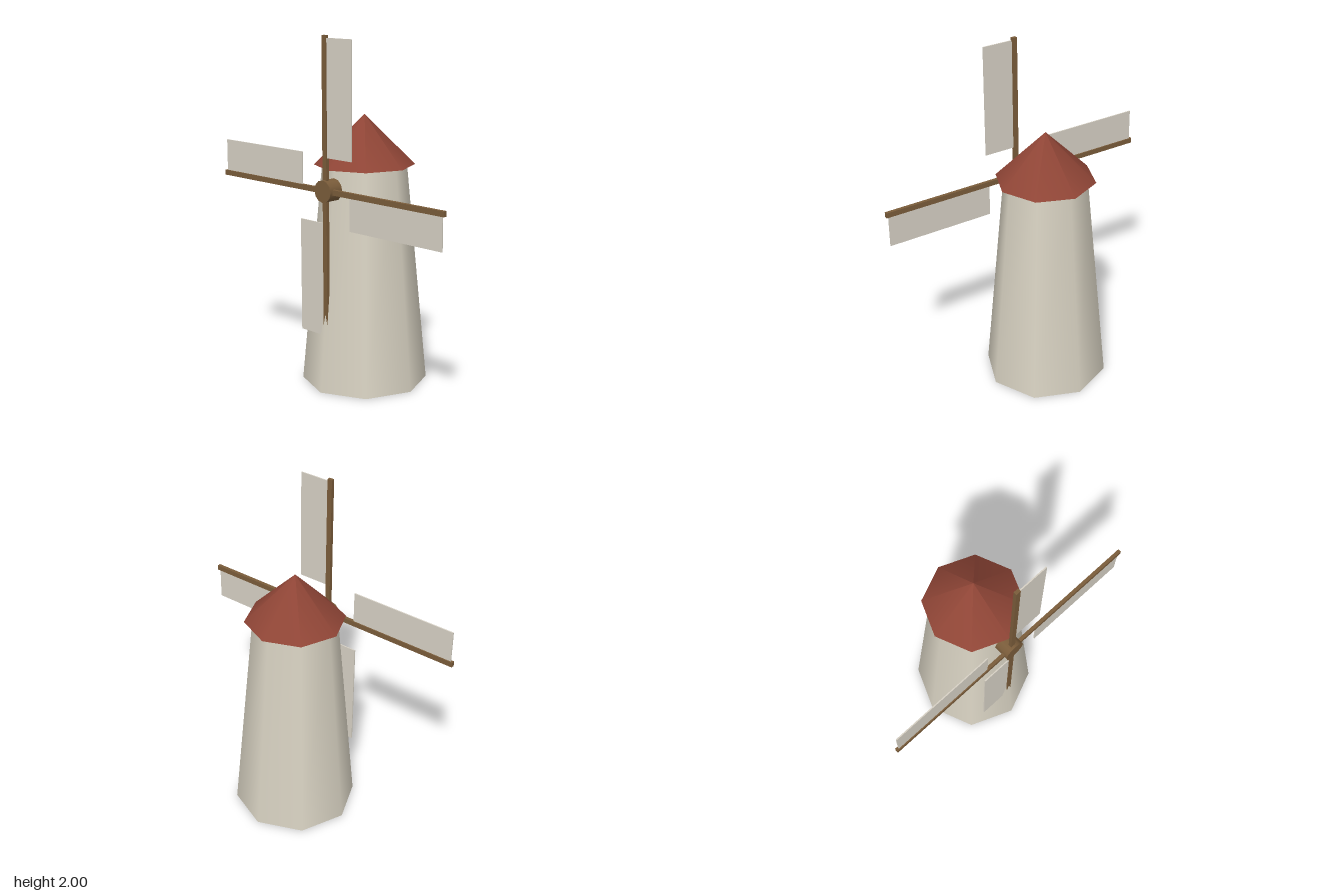
import * as THREE from 'three';

const material = (name, color) => {
  const m = new THREE.MeshStandardMaterial({ color });
  m.name = name;
  return m;
};

function createPart(name, geometry, mat, x = 0, y = 0, z = 0) {
  const mesh = new THREE.Mesh(geometry, mat);
  mesh.name = name;
  mesh.position.set(x, y, z);
  return mesh;
}

export function createModel() {
  const plaster = material('plaster', 0xd8d2c2);
  const roofRed = material('roof red', 0x8f4536);
  const wood = material('wood', 0x7a5c3a);
  const canvas = material('sail canvas', 0xd6d0c4);

  const model = new THREE.Group();
  model.name = 'windmill';

  // Tapered eight-sided tower and overhanging cap
  const towerHeight = 1.265;
  model.add(createPart('tower', new THREE.CylinderGeometry(0.24, 0.36, towerHeight, 8), plaster, 0, towerHeight / 2));
  const roofHeight = 0.285;
  model.add(createPart('roof', new THREE.ConeGeometry(0.286, roofHeight, 8), roofRed, 0, towerHeight + roofHeight / 2));

  // Rotor: hub along z with four arms, each carrying a sail on one side
  const rotor = new THREE.Group();
  rotor.name = 'rotor';
  rotor.position.set(0, 1.155, 0.307);
  const hubGeometry = new THREE.CylinderGeometry(0.063, 0.063, 0.09, 12).rotateX(Math.PI / 2);
  rotor.add(createPart('hub', hubGeometry, wood, 0, 0, -0.019));

  const armLength = 0.845;
  const armGeometry = new THREE.BoxGeometry(0.03, armLength, 0.02);
  const sailGeometry = new THREE.BoxGeometry(0.183, 0.647, 0.007);
  for (let i = 0; i < 4; i++) {
    const blade = new THREE.Group();
    blade.name = `blade${i + 1}`;
    blade.rotation.z = (i * Math.PI) / 2;
    blade.add(createPart('arm', armGeometry, wood, 0, armLength / 2));
    blade.add(createPart('sail', sailGeometry, canvas, 0.107, 0.507));
    rotor.add(blade);
  }
  model.add(rotor);
  return model;
}
